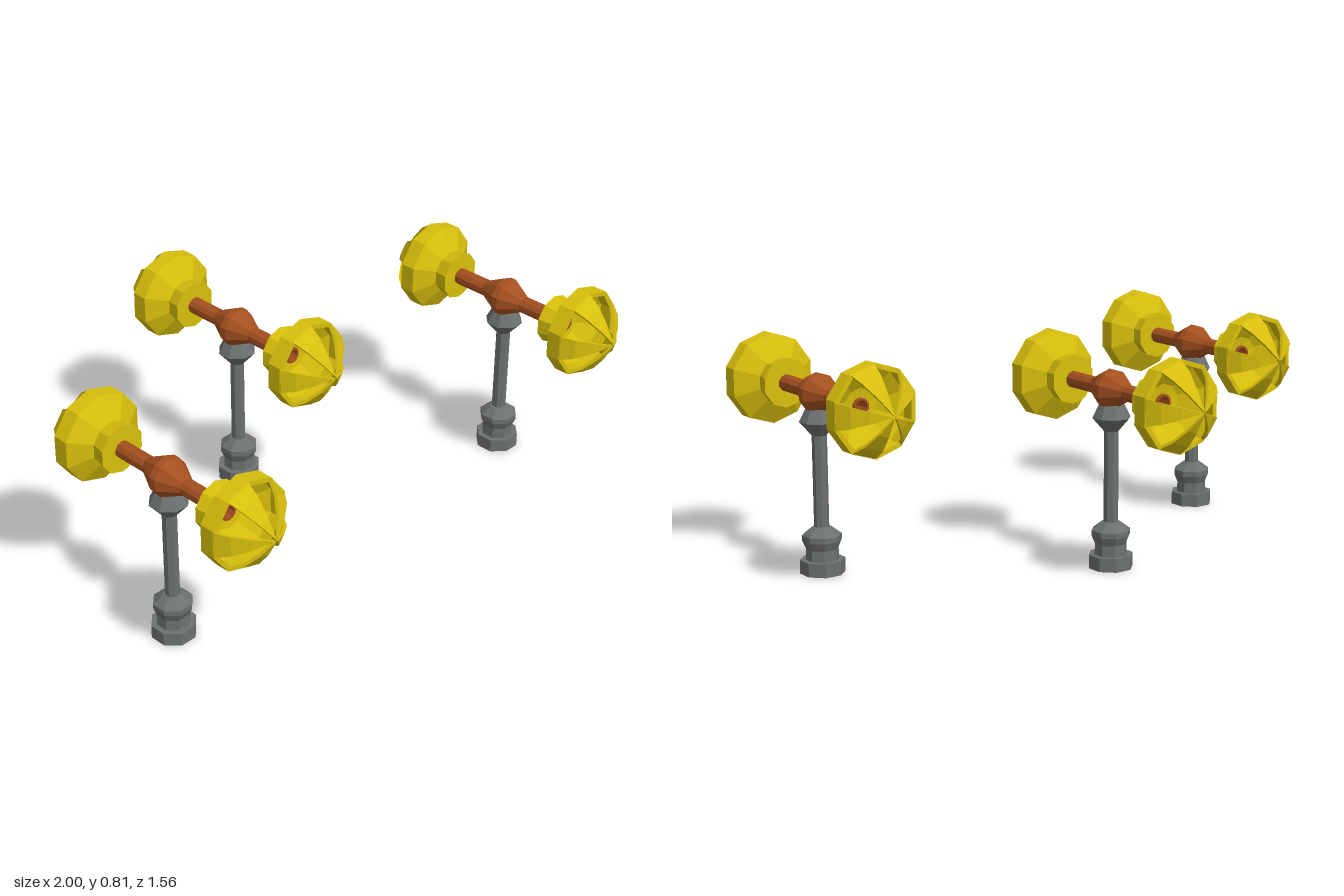
import * as THREE from 'three';

const material = (name, color) => {
  const m = new THREE.MeshStandardMaterial({ color, flatShading: true });
  m.name = name;
  return m;
};

// Faceted turning from [radius, height] pairs, listed upwards on the outside
function turned(profile, sides, start = 0) {
  const points = profile.map(([r, y]) => new THREE.Vector2(r, y));
  return new THREE.LatheGeometry(points, sides, start);
}

// One curved cage blade: a four-cornered section lofted towards the tip
function bladeGeometry(from, to) {
  const path = [[0.165, 0.38], [0.13, 0.427], [0.075, 0.468], [0.008, 0.503]];
  const gap = 0.003, pos = [], index = [];
  path.forEach(([r, z]) => {
    const pad = Math.min(gap / r, 0.16);
    const a0 = from + pad, a1 = to - pad;
    const inner = Math.max(r - 0.012, 0.004);
    for (const [rad, a, h] of [[r, a0, z], [r, a1, z], [inner, a1, z - 0.006], [inner, a0, z - 0.006]]) {
      pos.push(rad * Math.cos(a), rad * Math.sin(a), h);
    }
  });
  for (let i = 0; i < path.length - 1; i++) {
    for (let j = 0; j < 4; j++) {
      const a = i * 4 + j, b = i * 4 + (j + 1) % 4;
      index.push(a, b, b + 4, a, b + 4, a + 4);
    }
  }
  const e = (path.length - 1) * 4;
  index.push(0, 2, 1, 0, 3, 2, e, e + 1, e + 2, e, e + 2, e + 3);
  const geometry = new THREE.BufferGeometry();
  geometry.setAttribute('position', new THREE.Float32BufferAttribute(pos, 3));
  geometry.setIndex(index);
  geometry.computeVertexNormals();
  return geometry;
}

export function createModel() {
  const grey = material('grey metal', 0x6c7070);
  const brown = material('brown copper', 0xa5501f);
  const yellow = material('yellow brass', 0xd8bf0c);
  const model = new THREE.Group();
  model.name = 'caged lampStands';

  // Post with stepped foot and flared head
  const post = turned([
    [0, 0], [0.081, 0], [0.081, 0.05], [0.06, 0.05], [0.058, 0.09], [0.071, 0.12],
    [0.071, 0.14], [0.034, 0.168], [0.027, 0.17], [0.027, 0.5], [0.07, 0.55],
    [0.045, 0.6], [0, 0.6],
  ], 8, Math.PI / 8);

  // Hollow cross bar with a central bulge
  const bar = turned([
    [0.023, -0.29], [0.031, -0.29], [0.031, -0.09], [0.072, -0.012], [0.072, 0.012],
    [0.031, 0.09], [0.031, 0.29], [0.023, 0.29], [0.023, -0.29],
  ], 10).rotateX(Math.PI / 2);

  // Open cup with a flared collar
  const cup = turned([
    [0.03, 0.225], [0.091, 0.225], [0.086, 0.25], [0.08, 0.28], [0.165, 0.325],
    [0.165, 0.383], [0.148, 0.383], [0.148, 0.335], [0.065, 0.285], [0.03, 0.28],
    [0.03, 0.225],
  ], 10).rotateX(Math.PI / 2);

  const step = Math.PI / 5;
  const blades = Array.from({ length: 5 }, (_, i) => {
    const start = Math.PI / 10 + i * 2 * step;
    return bladeGeometry(start, start + step);
  });

  const add = (parent, name, geometry, mat) => {
    const mesh = new THREE.Mesh(geometry, mat);
    mesh.name = name;
    parent.add(mesh);
  };

  // Three matching stands
  for (const [x, z] of [[-0.843, 0.25], [-0.02, -0.28], [0.843, 0.277]]) {
    const stand = new THREE.Group();
    stand.name = 'stand';
    stand.position.set(x, 0, z);
    add(stand, 'post', post, grey);

    const head = new THREE.Group();
    head.name = 'head';
    head.position.y = 0.65;
    add(head, 'crossBar', bar, brown);

    // A caged cup at each end of the bar
    for (const [name, turn] of [['frontCage', 0], ['backCage', Math.PI]]) {
      const cage = new THREE.Group();
      cage.name = name;
      cage.rotation.y = turn;
      add(cage, 'cup', cup, yellow);
      blades.forEach((b) => add(cage, 'blade', b, yellow));
      head.add(cage);
    }
    stand.add(head);
    model.add(stand);
  }
  return model;
}
